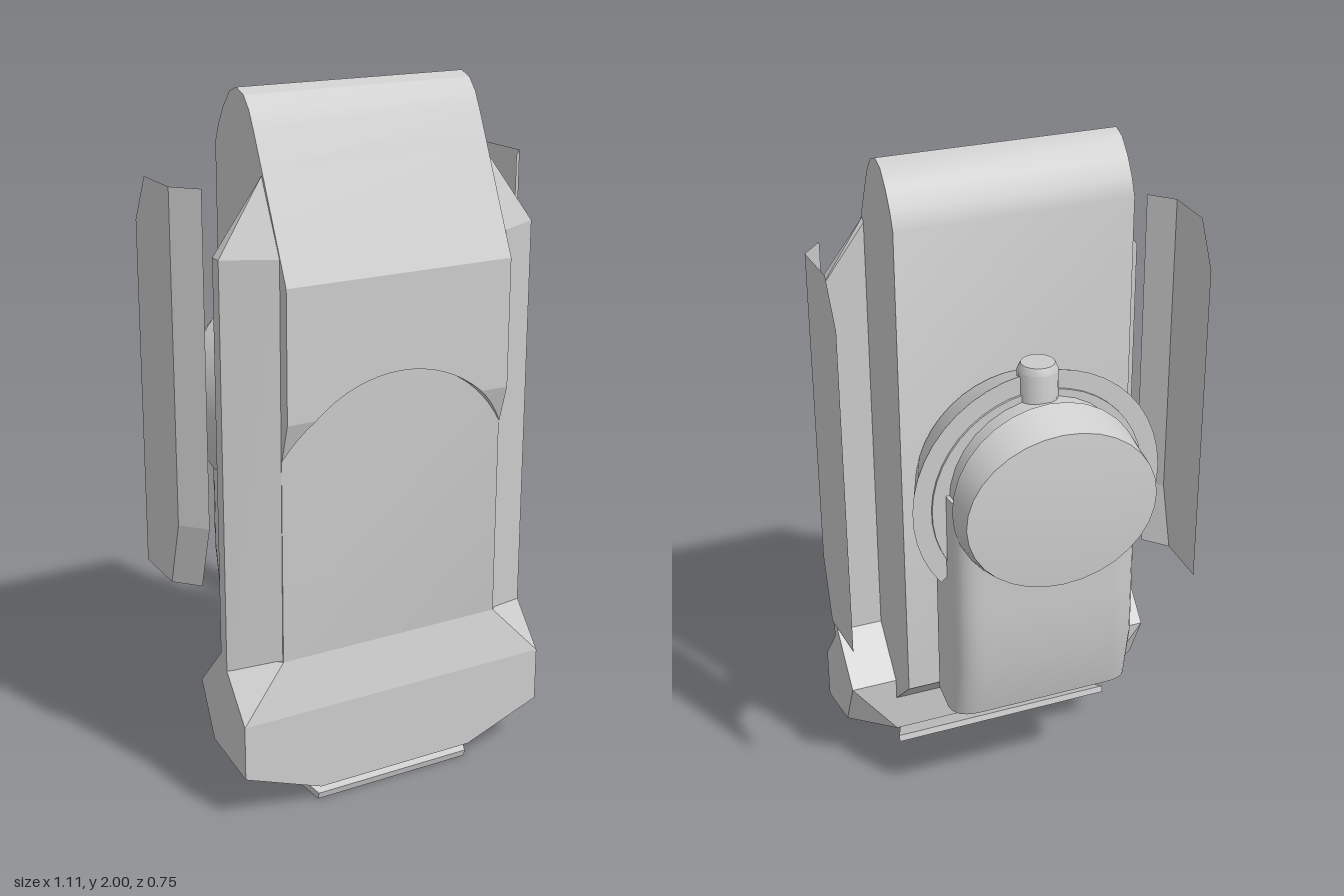
import * as THREE from 'three';
import { toCreasedNormals } from 'three/addons/utils/BufferGeometryUtils.js';
import { ConvexGeometry } from 'three/addons/geometries/ConvexGeometry.js';

const grey = new THREE.MeshStandardMaterial({ color: 0xcccccc });
const greyThin = new THREE.MeshStandardMaterial({ color: 0xcccccc, side: THREE.DoubleSide });

function part(parent, name, geometry, material = grey) {
  const mesh = new THREE.Mesh(geometry, material);
  mesh.name = name;
  parent.add(mesh);
  return mesh;
}

const shapeOf = (pts) => new THREE.Shape(pts.map(([x, y]) => new THREE.Vector2(x, y)));
const hull = (pts) => new ConvexGeometry(pts.map((p) => new THREE.Vector3(...p)));
const mirrored = (pts) => pts.flatMap(([x, y, z]) => [[x, y, z], [-x, y, z]]);

// Move every vertex by a rule
function bend(geometry, rule) {
  const p = geometry.attributes.position;
  const v = new THREE.Vector3();
  for (let i = 0; i < p.count; i++) {
    rule(v.fromBufferAttribute(p, i));
    p.setXYZ(i, v.x, v.y, v.z);
  }
  geometry.computeVertexNormals();
  return geometry;
}

// Extrude a (z, y) profile across x
function acrossX(pts, half) {
  const g = new THREE.ExtrudeGeometry(shapeOf(pts), { depth: half * 2, bevelEnabled: false });
  g.rotateY(-Math.PI / 2).translate(half, 0, 0);
  return toCreasedNormals(g, 0.5);
}

// Turn a (radius, depth towards the back) profile about the z axis
function turned(pts, y, start = 0, sweep = Math.PI * 2) {
  const g = new THREE.LatheGeometry(pts.map(([r, d]) => new THREE.Vector2(r, d)), 32, start, sweep);
  return g.rotateX(-Math.PI / 2).translate(0, y, 0);
}

// Flat polygons, each drawn as a fan
function sheet(polygons) {
  const pos = [];
  for (const p of polygons)
    for (let i = 1; i < p.length - 1; i++) pos.push(...p[0], ...p[i], ...p[i + 1]);
  const g = new THREE.BufferGeometry();
  g.setAttribute('position', new THREE.Float32BufferAttribute(pos, 3));
  g.computeVertexNormals();
  return g;
}

export function createModel() {
  const model = new THREE.Group();
  model.name = 'armouredLimb';

  // Main body with rounded top
  part(model, 'body', acrossX([
    [-0.02, 0.38], [0.11, 0.26], [0.3, 0.22], [0.34, 0.45], [0.34, 1.52], [0.375, 1.52],
    [0.25, 1.8], [0.205, 1.9], [0.18, 1.95], [0.15, 1.985], [0.11, 2], [0.07, 1.985],
    [0.03, 1.94], [0, 1.89], [-0.02, 1.84],
  ], 0.35));

  // Front hood with an arched lower edge
  const arcY = 0.853, arcR = 0.397, low = 0.49, high = 0.846;
  const arc = (a, b, n) => Array.from({ length: n + 1 }, (_, i) => {
    const t = a + (b - a) * i / n;
    return [arcR * Math.cos(t), arcY + arcR * Math.sin(t)];
  });
  const slab = (pts) => new THREE.ExtrudeGeometry(shapeOf(pts), { depth: 0.045, bevelEnabled: false })
    .translate(0, 0, 0.33);
  part(model, 'hood', slab([
    [-0.35, 1.52], [-0.35, 1.15], ...arc(Math.PI - high, high, 16), [0.35, 1.15], [0.35, 1.52],
  ]));
  for (const s of [1, -1]) {
    const corner = [...arc(low, high, 4), [0.35, 1.15]].map(([x, y]) => [s * x, y]);
    part(model, 'hoodCorner', bend(slab(corner), (v) => {
      if (v.z > 0.35) v.z -= Math.max(0, 1.15 - v.y) * 0.3;
    }));
  }

  // Foot block and the thin sole plate under it
  part(model, 'foot', hull(mirrored([
    [0.49, 0.3, 0.375], [0.49, 0.14, 0.375], [0.25, 0.05, 0.375], [0.35, 0.45, 0.34],
    [0.49, 0.3, 0.27], [0.49, 0.47, 0.235], [0.49, 0.33, 0.105], [0.49, 0.175, 0.18],
    [0.35, 0.145, 0.11],
  ])));
  part(model, 'solePlate', hull(mirrored([
    [0.25, 0, 0.355], [0.25, 0.02, 0.36], [0.35, 0.105, 0.09], [0.35, 0.125, 0.095],
  ])));

  for (const s of [1, -1]) {
    const side = (pts) => pts.map(([x, y, z]) => [s * x, y, z]);

    // Side rail, pointed at the top
    part(model, 'sideRail', hull(side([
      [0.34, 0.3, 0.34], [0.49, 0.3, 0.27], [0.49, 0.3, 0.235], [0.34, 0.3, 0.235],
      [0.35, 1.59, 0.34], [0.49, 1.59, 0.27], [0.49, 1.59, 0.235], [0.35, 1.79, 0.245],
      [0.34, 1.79, 0.235],
    ])));

    // Folded thin side panel
    const frontTop = [0.492, 1.76, 0.185], frontLow = [0.492, 0.82, 0.185], frontEnd = [0.492, 0.63, 0.13];
    const foldTop = [0.553, 1.76, 0.115], foldLow = [0.553, 0.82, 0.115], foldEnd = [0.553, 0.63, 0.06];
    part(model, 'sidePanel', sheet([
      side([frontTop, frontLow, foldLow, foldTop]),
      side([frontLow, frontEnd, foldEnd, foldLow]),
      side([foldLow, foldEnd, [0.546, 0.63, -0.12], [0.546, 1.63, -0.12], [0.548, 1.76, -0.05], foldTop]),
    ]), greyThin);
  }

  // Rear unit: open collar, arm, round head and knob
  const rear = new THREE.Group();
  rear.name = 'rearUnit';
  model.add(rear);

  part(rear, 'collar', toCreasedNormals(turned([
    [0.315, 0.03], [0.375, 0.18], [0.32, 0.18], [0.32, 0.187], [0.27, 0.187], [0.26, 0.05], [0.315, 0.03],
  ], 1.07, -2.23, 4.46), 0.5), greyThin);

  // Arm with rounded back corners and a tapered lower end
  const section = new THREE.Shape();
  section.moveTo(-0.27, 0.07);
  section.lineTo(0.27, 0.07);
  section.lineTo(0.28, 0.2);
  section.quadraticCurveTo(0.28, 0.28, 0.2, 0.28);
  section.lineTo(-0.2, 0.28);
  section.quadraticCurveTo(-0.28, 0.28, -0.28, 0.2);
  section.closePath();
  const arm = new THREE.ExtrudeGeometry(section, { depth: 0.72, steps: 4, bevelEnabled: false, curveSegments: 6 });
  arm.rotateX(-Math.PI / 2).translate(0, 0.4, 0);
  bend(arm, (v) => {
    if (v.y < 0.45) v.z = -0.07 + (v.z + 0.07) * 0.79;
  });
  part(rear, 'arm', toCreasedNormals(arm, 0.5));
  part(rear, 'armShoulder', toCreasedNormals(
    turned([[0, 0.07], [0.27, 0.07], [0.27, 0.25], [0, 0.25]], 1.1), 0.5));

  // Head: round drum, flattened in height towards the back
  const head = turned([[0, 0.18], [0.22, 0.18], [0.285, 0.25], [0.283, 0.355], [0, 0.375]], 0);
  bend(head, (v) => {
    const t = THREE.MathUtils.clamp((-v.z - 0.25) / 0.105, 0, 1);
    v.y = 1.1 + v.y * (0.98 - 0.17 * t);
    if (v.z < -0.3) v.z += (v.y - 1.1) * 0.04;
  });
  part(rear, 'head', toCreasedNormals(head, 0.5));

  const knob = new THREE.LatheGeometry(
    [[0, 1.1], [0.052, 1.1], [0.058, 1.45], [0.048, 1.47], [0, 1.47]].map(([r, y]) => new THREE.Vector2(r, y)), 16);
  part(rear, 'knob', toCreasedNormals(knob.translate(0, 0, -0.17), 0.5));

  return model;
}
